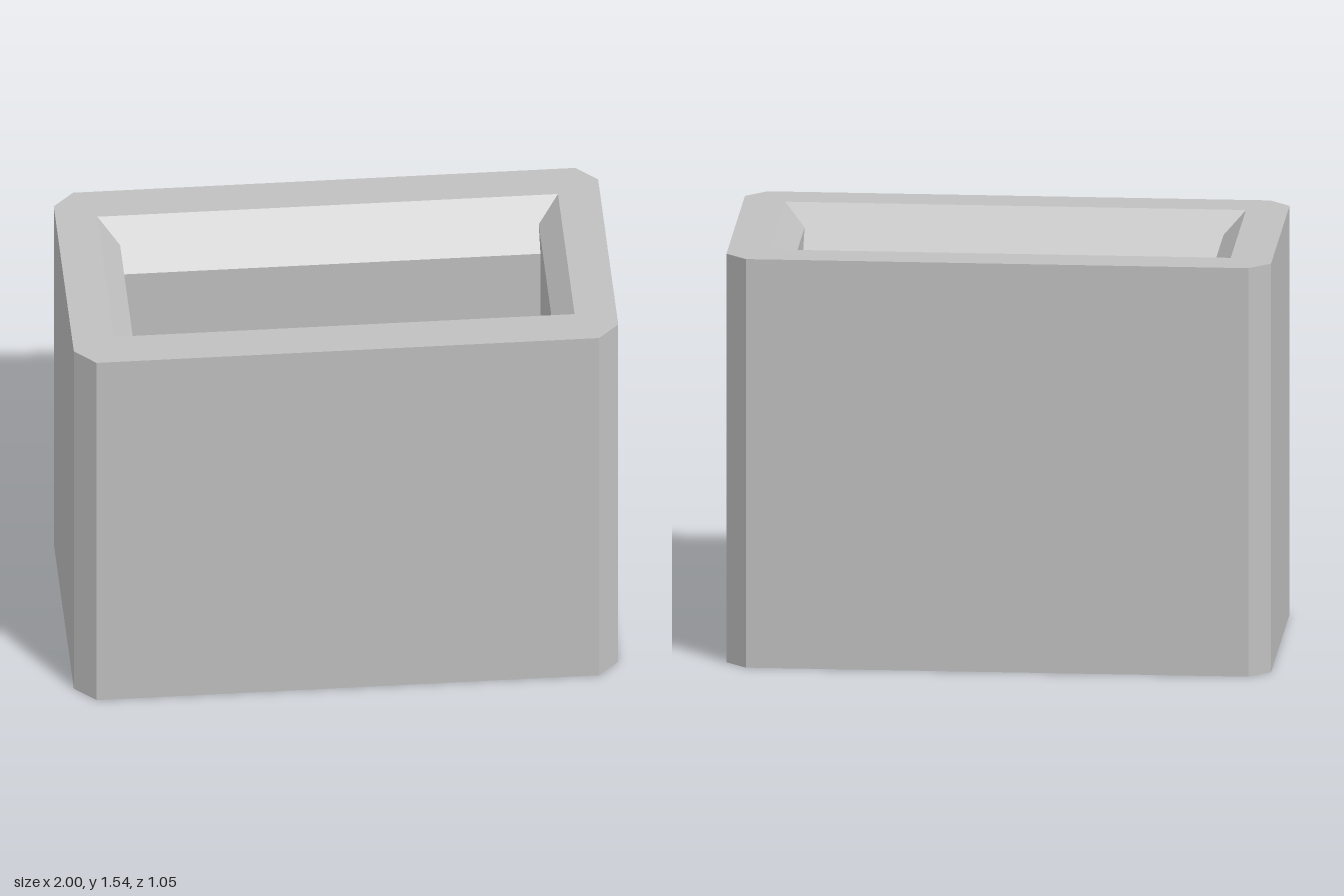
import * as THREE from 'three';

// Overall sizes; U is the chamfer width that every step is based on
const U = 0.077, H = 1.54, X = 1, Z = 0.523;

// Flat-shaded surface through a stack of rings; rising rings face outward, falling rings face inward
function loft(rings) {
  const pos = [];
  for (let r = 0; r < rings.length - 1; r++) {
    const lo = rings[r], hi = rings[r + 1];
    for (let i = 0; i < lo.length; i++) {
      const j = (i + 1) % lo.length;
      for (const p of [lo[i], lo[j], hi[j], lo[i], hi[j], hi[i]]) pos.push(...p);
    }
  }
  const geo = new THREE.BufferGeometry();
  geo.setAttribute('position', new THREE.Float32BufferAttribute(pos, 3));
  geo.computeVertexNormals();
  return geo;
}

const rectangle = (x, z) => [[-x, z], [x, z], [x, -z], [-x, -z]];
const chamfered = (x, z, c) => [
  [-x + c, z], [x - c, z], [x, z - c], [x, -z + c],
  [x - c, -z], [-x + c, -z], [-x, -z + c], [-x, z - c],
];
const atHeight = (pts, y) => pts.map(([x, z]) => [x, y, z]);

export function createModel() {
  const group = new THREE.Group();
  group.name = 'hollowBlock';
  const grey = new THREE.MeshStandardMaterial({ color: 0xc0c0c0 });
  grey.name = 'plain grey';
  const add = (name, geo) => {
    const mesh = new THREE.Mesh(geo, grey);
    mesh.name = name;
    group.add(mesh);
    return mesh;
  };

  // Outer shell with chamfered upright corners
  const outline = chamfered(X, Z, U);
  add('outerShell', loft([atHeight(outline, 0), atHeight(outline, H)]));

  // Through opening: 45 degree funnels at both ends, twice as deep on the long sides
  const ox = X - 2 * U, oz = Z - 2 * U;
  const profile = [
    [ox, H, oz], [ox - U, H - U, oz - U], [ox - U, H - 2 * U, oz - 2 * U],
    [ox - U, 2 * U, oz - 2 * U], [ox - U, U, oz - U], [ox, 0, oz],
  ];
  add('innerWalls', loft(profile.map(([x, y, z]) => atHeight(rectangle(x, z), y))));

  // Flat rims joining the shell to the opening
  const toVectors = (pts) => pts.map(([x, z]) => new THREE.Vector2(x, z));
  const rim = new THREE.Shape(toVectors(outline));
  rim.holes.push(new THREE.Path(toVectors(rectangle(ox, oz))));
  add('topRim', new THREE.ShapeGeometry(rim).rotateX(-Math.PI / 2)).position.y = H;
  add('bottomRim', new THREE.ShapeGeometry(rim).rotateX(Math.PI / 2));

  return group;
}
